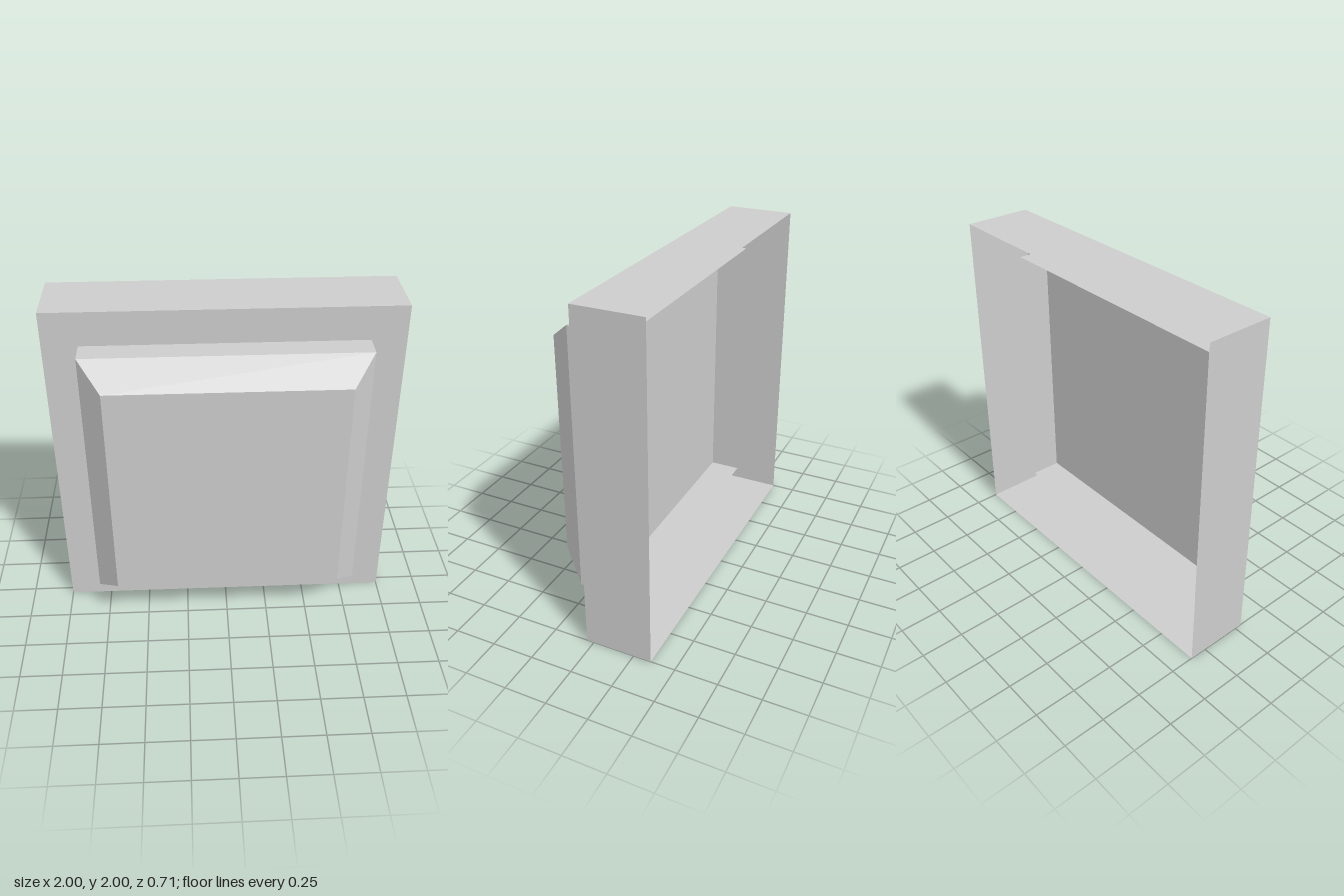
import * as THREE from 'three';

export function createModel() {
  const model = new THREE.Group();
  const grey = new THREE.MeshStandardMaterial({ color: 0xcccccc, side: THREE.DoubleSide, flatShading: true });
  grey.name = 'plain grey';

  function add(name, geometry, z) {
    const mesh = new THREE.Mesh(geometry, grey);
    mesh.name = name;
    mesh.position.set(0, 1, z);
    model.add(mesh);
  }

  // Open square tube along z; the half-widths may differ to make a bevel
  function squareTube(name, backHalf, frontHalf, zBack, zFront) {
    const g = new THREE.CylinderGeometry(
      frontHalf * Math.SQRT2, backHalf * Math.SQRT2, zFront - zBack, 4, 1, true, Math.PI / 4);
    g.rotateX(Math.PI / 2);
    add(name, g, (zBack + zFront) / 2);
  }

  // Outer casing, open at the back
  squareTube('casingWalls', 1, 1, -0.355, 0.045);
  add('casingFace', new THREE.PlaneGeometry(2, 2), 0.045);

  // Raised button: its walls pass through the casing face
  squareTube('buttonWalls', 0.8, 0.8, -0.145, 0.19);
  squareTube('buttonBevel', 0.8, 0.67, 0.19, 0.355);
  add('buttonFace', new THREE.PlaneGeometry(1.34, 1.34), 0.355);

  return model;
}
